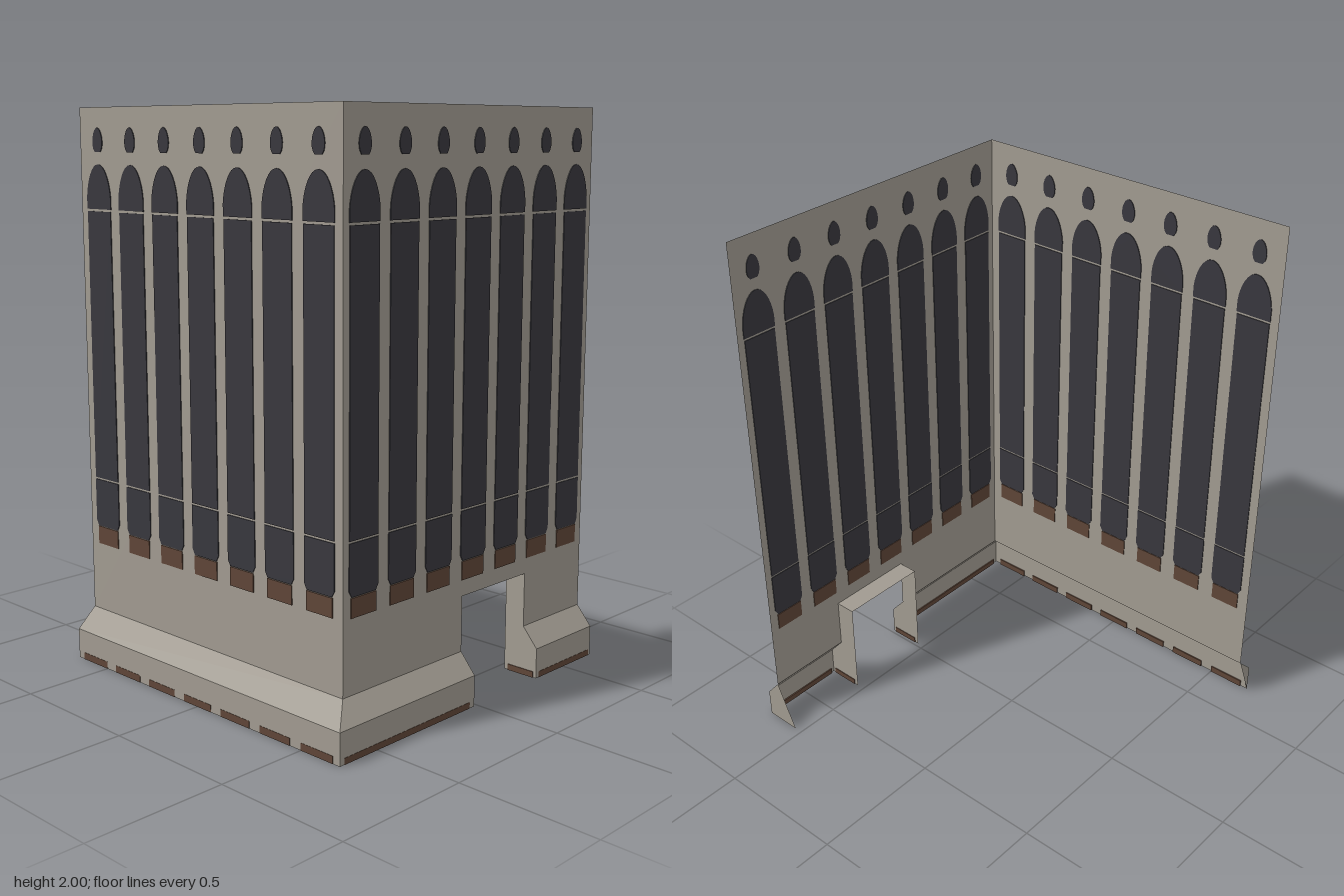
import * as THREE from 'three';

const mat = (name, color, side = THREE.FrontSide) => {
  const m = new THREE.MeshStandardMaterial({ color, side });
  m.name = name;
  return m;
};

// Main levels and planes
const TOP = 2, SKIRT_TOP = 0.18, SKIRT_MID = 0.11, DOOR_TOP = 0.375;
const FRONT = 0.61, SIDE = -0.595, OUT = 0.67, JAMB_BACK = 0.53;
const DOOR_L = -0.015, DOOR_R = 0.335, PLATE = 0.006;

export function createModel() {
  const stone = mat('stone', 0xa09a90, THREE.DoubleSide);
  const glass = mat('dark glass', 0x38373d);
  const brick = mat('brown brick', 0x5e4537);
  const model = new THREE.Group();
  model.name = 'cornerFacade';

  // Flat stone panel from the corners of a convex polygon
  const panel = (name, ...corners) => {
    const pos = [];
    for (let i = 1; i < corners.length - 1; i++) pos.push(...corners[0], ...corners[i], ...corners[i + 1]);
    const geo = new THREE.BufferGeometry();
    geo.setAttribute('position', new THREE.Float32BufferAttribute(pos, 3));
    geo.computeVertexNormals();
    const mesh = new THREE.Mesh(geo, stone);
    mesh.name = name;
    model.add(mesh);
  };

  // Front wall, notched around the doorway
  panel('frontWallUpper', [SIDE, DOOR_TOP, FRONT], [OUT, DOOR_TOP, FRONT], [OUT, TOP, FRONT], [SIDE, TOP, FRONT]);
  for (const [a, b] of [[SIDE, DOOR_L], [DOOR_R, OUT]])
    panel('frontWallLower', [a, SKIRT_TOP, FRONT], [b, SKIRT_TOP, FRONT], [b, DOOR_TOP, FRONT], [a, DOOR_TOP, FRONT]);

  // Side wall
  panel('sideWall', [SIDE, SKIRT_TOP, -OUT], [SIDE, SKIRT_TOP, FRONT], [SIDE, TOP, FRONT], [SIDE, TOP, -OUT]);

  // Flared skirts, mitred at the corner
  for (const [a, aTop, b] of [[-OUT, SIDE, DOOR_L], [DOOR_R, DOOR_R, OUT]]) {
    panel('frontSkirtSlope', [a, SKIRT_MID, OUT], [b, SKIRT_MID, OUT], [b, SKIRT_TOP, FRONT], [aTop, SKIRT_TOP, FRONT]);
    panel('frontSkirt', [a, 0, OUT], [b, 0, OUT], [b, SKIRT_MID, OUT], [a, SKIRT_MID, OUT]);
  }
  panel('sideSkirtSlope', [-OUT, SKIRT_MID, -OUT], [-OUT, SKIRT_MID, OUT], [SIDE, SKIRT_TOP, FRONT], [SIDE, SKIRT_TOP, -OUT]);
  panel('sideSkirt', [-OUT, 0, -OUT], [-OUT, 0, OUT], [-OUT, SKIRT_MID, OUT], [-OUT, SKIRT_MID, -OUT]);
  panel('sideSkirtEnd', [-OUT, 0, -OUT], [-OUT, SKIRT_MID, -OUT], [SIDE, SKIRT_TOP, -OUT]);

  // Skirt ends facing +x or -x, doorway jambs and the doorway ceiling
  const skirtEnd = (x, dir) => {
    const c = [[x, 0, OUT], [x, 0, JAMB_BACK], [x, SKIRT_TOP, FRONT], [x, SKIRT_MID, OUT]];
    panel('skirtEnd', ...(dir > 0 ? c : c.reverse()));
  };
  skirtEnd(DOOR_L, 1);
  skirtEnd(DOOR_R, -1);
  skirtEnd(OUT, 1);
  for (const [x, dir] of [[DOOR_L, 1], [DOOR_R, -1]]) {
    const c = [[x, 0, JAMB_BACK], [x, DOOR_TOP, JAMB_BACK], [x, DOOR_TOP, FRONT], [x, SKIRT_TOP, FRONT]];
    panel('doorJamb', ...(dir > 0 ? c : c.reverse()));
  }
  panel('doorCeiling', [DOOR_L, DOOR_TOP, JAMB_BACK], [DOOR_R, DOOR_TOP, JAMB_BACK],
    [DOOR_R, DOOR_TOP, FRONT], [DOOR_L, DOOR_TOP, FRONT]);

  // Painted plates pass through the wall so they show on both faces
  const plateGeo = (shape) => new THREE.ExtrudeGeometry(shape, { depth: PLATE, bevelEnabled: false, curveSegments: 8 })
    .translate(0, 0, -PLATE / 2);
  const rect = (w, y0, y1) => new THREE.Shape([[-w, y0], [w, y0], [w, y1], [-w, y1]].map((p) => new THREE.Vector2(...p)));

  const arch = new THREE.Shape();
  arch.moveTo(-0.067, 1.65);
  arch.lineTo(0.067, 1.65);
  arch.lineTo(0.067, 1.69);
  arch.bezierCurveTo(0.062, 1.75, 0.035, 1.805, 0, 1.805);
  arch.bezierCurveTo(-0.035, 1.805, -0.062, 1.75, -0.067, 1.69);

  const foot = new THREE.Shape();
  foot.moveTo(-0.055, 0.5);
  foot.lineTo(0.055, 0.5);
  foot.lineTo(0.066, 0.52);
  foot.lineTo(0.066, 0.673);
  foot.lineTo(-0.066, 0.673);
  foot.lineTo(-0.066, 0.52);

  const oculus = new THREE.Shape();
  oculus.moveTo(-0.015, 1.847);
  oculus.lineTo(0.015, 1.847);
  oculus.bezierCurveTo(0.04, 1.87, 0.022, 1.93, 0, 1.93);
  oculus.bezierCurveTo(-0.022, 1.93, -0.04, 1.87, -0.015, 1.847);

  const parts = [
    ['windowArch', plateGeo(arch), glass],
    ['windowBody', plateGeo(rect(0.065, 0.68, 1.642)), glass],
    ['windowFoot', plateGeo(foot), glass],
    ['smallWindow', plateGeo(oculus), glass],
    ['windowSill', plateGeo(rect(0.057, 0.432, 0.497)), brick],
  ];

  // Row of seven tall windows, reused on both walls
  const windowRow = (name, first) => {
    const row = new THREE.Group();
    row.name = name;
    for (let i = 0; i < 7; i++) {
      for (const [partName, geo, material] of parts) {
        const mesh = new THREE.Mesh(geo, material);
        mesh.name = partName;
        mesh.position.x = first + i * 0.18;
        row.add(mesh);
      }
    }
    model.add(row);
    return row;
  };
  windowRow('frontWindows', -0.503).position.z = FRONT;
  const sideRow = windowRow('sideWindows', -0.57);
  sideRow.rotation.y = -Math.PI / 2;
  sideRow.position.x = SIDE;

  // Worn brick strips along the foot of the skirts
  const strip = (sx, sz, x, z, h = 0.026) => {
    const mesh = new THREE.Mesh(new THREE.BoxGeometry(sx, h, sz), brick);
    mesh.name = 'brickStrip';
    mesh.position.set(x, h / 2, z);
    model.add(mesh);
  };
  strip(0.61, PLATE, -0.345, OUT - 0.002, 0.022);
  strip(0.31, PLATE, 0.505, OUT - 0.002, 0.022);
  for (let i = 0; i < 7; i++) strip(PLATE, 0.14, -OUT + 0.002, 0.57 - i * 0.19);
  strip(PLATE, 0.11, DOOR_L, 0.602, 0.022);
  strip(PLATE, 0.11, DOOR_R, 0.602, 0.022);

  return model;
}
